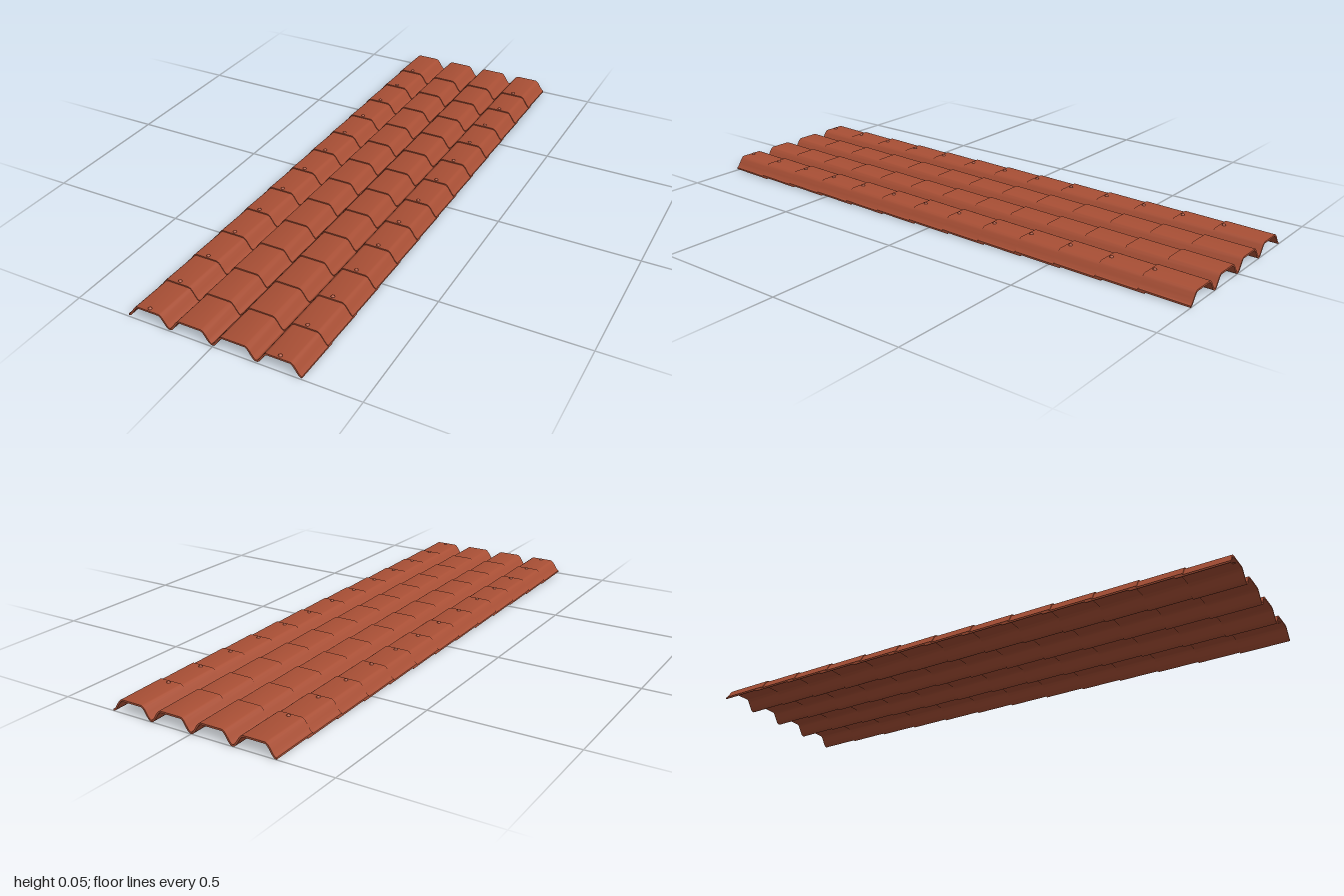
import * as THREE from 'three';
import { toCreasedNormals } from 'three/addons/utils/BufferGeometryUtils.js';

const ROWS = 13, WAVES = 4;
const PITCH = 0.152, LENGTH = 0.176;   // rows overlap slightly
const WAVE = 0.1525, FLAT = 0.038;     // wave width, half width of its flat top
const CREST = 0.047, VALLEY = 0.008;   // centre-line heights
const THICK = 0.006, DROP = 0.005;     // each row sinks towards its back end

// Points and normals of the corrugated centre line
function centreLine() {
  const out = [], half = WAVE / 2, steps = 10;
  for (let w = 0; w < WAVES; w++) {
    const cx = (w - (WAVES - 1) / 2) * WAVE;
    for (const side of [-1, 1]) {
      for (let i = 0; i <= steps; i++) {
        if (side < 0 && i === 0 && w > 0) continue; // shared valley point
        const u = side < 0 ? 1 - i / steps : i / steps;
        const span = half - FLAT, amp = (CREST - VALLEY) / 2;
        const slope = -side * amp * Math.sin(Math.PI * u) * Math.PI / span;
        out.push({
          x: cx + side * (FLAT + span * u),
          y: VALLEY + amp * (1 + Math.cos(Math.PI * u)),
          n: new THREE.Vector2(-slope, 1).normalize(),
        });
      }
    }
  }
  return out;
}

// One row of tiles: thick corrugated section, sheared down to the back
function rowGeometry() {
  const line = centreLine();
  const offset = (p, d) => new THREE.Vector2(p.x + p.n.x * d, p.y + p.n.y * d);
  const lower = line.map(p => offset(p, -THICK / 2));
  const upper = line.map(p => offset(p, THICK / 2)).reverse();
  const geo = new THREE.ExtrudeGeometry(new THREE.Shape([...lower, ...upper]), {
    depth: LENGTH, bevelEnabled: false,
  });
  geo.translate(0, 0, -LENGTH); // front edge at z = 0
  const pos = geo.attributes.position;
  for (let i = 0; i < pos.count; i++) {
    pos.setY(i, pos.getY(i) + DROP * pos.getZ(i) / LENGTH);
  }
  return toCreasedNormals(geo, 0.6);
}

export function createModel() {
  const model = new THREE.Group();
  model.name = 'roofTilePanel';
  const clay = new THREE.MeshStandardMaterial({ color: 0xa84f35 });
  clay.name = 'terracotta';

  const tileGeo = rowGeometry();
  const nailGeo = new THREE.SphereGeometry(0.007, 12, 8);

  for (let r = 0; r < ROWS; r++) {
    const row = new THREE.Group();
    row.name = 'tileRow' + (r + 1);
    row.position.z = 1 - r * PITCH;

    const tiles = new THREE.Mesh(tileGeo, clay);
    tiles.name = 'corrugatedTiles';
    row.add(tiles);

    // Round nail heads on the two outer waves
    for (const s of [-1, 1]) {
      const nail = new THREE.Mesh(nailGeo, clay);
      nail.name = s > 0 ? 'leftNailHead' : 'rightNailHead';
      nail.position.set(s * WAVE * 1.5, 0.048, -0.012);
      row.add(nail);
    }
    model.add(row);
  }
  return model;
}
